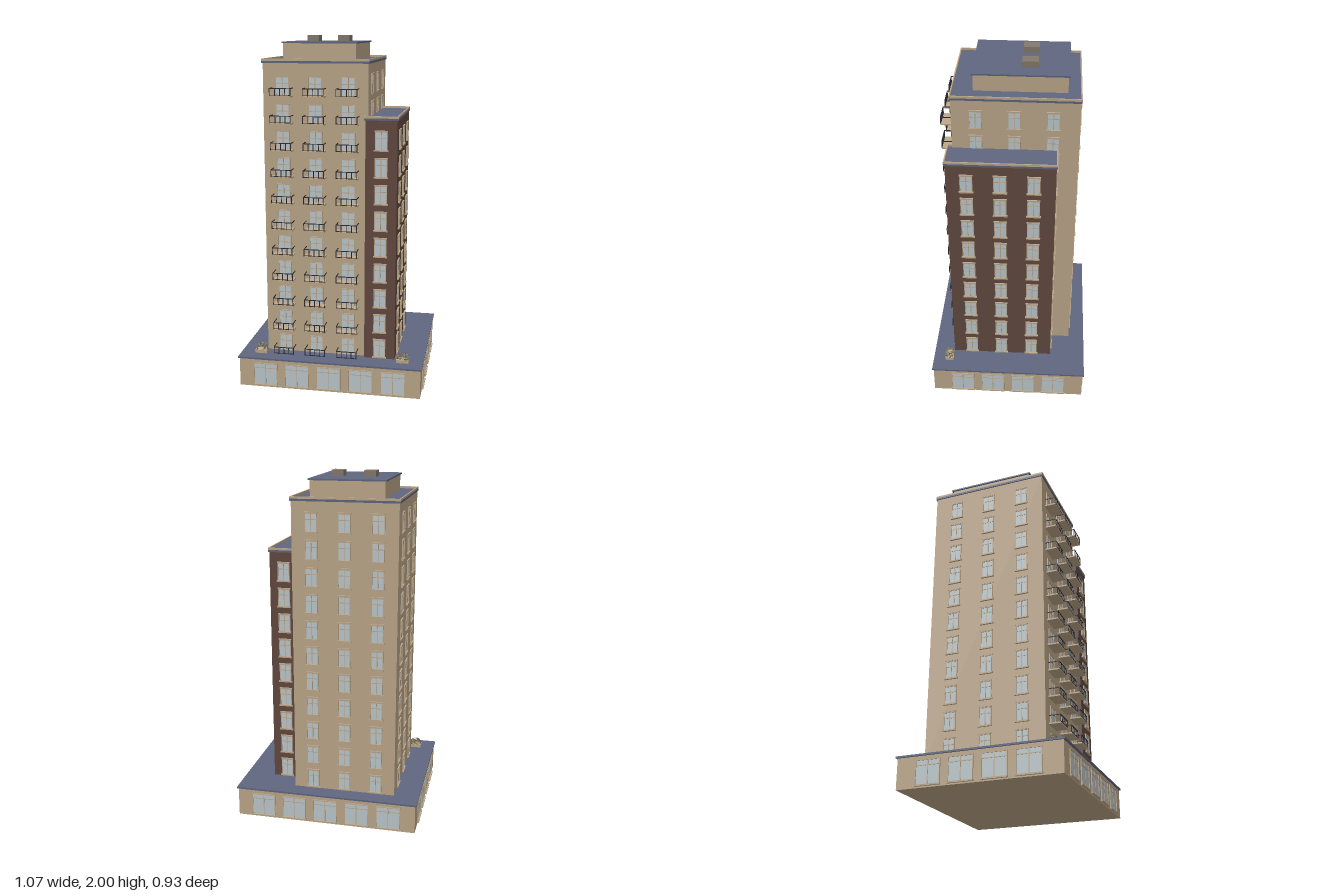
import * as THREE from 'three';
import { mergeGeometries } from 'three/addons/utils/BufferGeometryUtils.js';

const mat = (name, color) => Object.assign(new THREE.MeshStandardMaterial({ color }), { name });
const M = {
  stone: mat('tan stone', 0xbfa98b),
  brick: mat('brown brick', 0x634a40),
  roof: mat('slate blue roof', 0x5f6680),
  glass: mat('pale glass', 0xbfcacd),
  metal: mat('dark metal', 0x2b2a30),
  vent: mat('grey brown vent', 0x85796d),
  leaf: mat('dry green leaf', 0x7f7a64),
};

// Box geometry between two corners
function span(x0, x1, y0, y1, z0, z1) {
  return new THREE.BoxGeometry(x1 - x0, y1 - y0, z1 - z0)
    .translate((x0 + x1) / 2, (y0 + y1) / 2, (z0 + z1) / 2);
}

// Collects boxes by material and merges each set into one mesh
class Parts {
  constructor() { this.sets = {}; }
  box(key, ...s) { (this.sets[key] ??= []).push(span(...s)); }
  build(name) {
    const g = new THREE.Group();
    g.name = name;
    for (const [key, list] of Object.entries(this.sets)) {
      const mesh = new THREE.Mesh(mergeGeometries(list), M[key]);
      mesh.name = `${name} ${key}`;
      g.add(mesh);
    }
    return g;
  }
}

// Glazed opening on the local z = 0 plane, with frame, mullion and transom
function glazing(p, x, y, w, h, bar, transom) {
  const l = x - w / 2, r = x + w / 2, t = y + h, d = 0.006;
  p.box('glass', l, r, y, t, -0.002, 0.002);
  p.box('stone', l - bar, l, y, t, -0.002, d);
  p.box('stone', r, r + bar, y, t, -0.002, d);
  p.box('stone', l - bar, r + bar, t, t + bar, -0.002, d);
  p.box('stone', x - bar / 2, x + bar / 2, y, t, 0, 0.004);
  p.box('stone', l, r, y + h * transom, y + h * transom + bar, 0, 0.004);
}

function sashWindow(p, x, y) {
  glazing(p, x, y, 0.062, 0.096, 0.004, 0.66);
  p.box('stone', x - 0.04, x + 0.04, y - 0.008, y, -0.002, 0.01);
  p.box('stone', x - 0.037, x + 0.037, y + 0.1, y + 0.106, -0.002, 0.008);
}

function shopWindow(p, x) {
  glazing(p, x, 0.016, 0.132, 0.126, 0.004, 0.78);
  p.box('stone', x - 0.072, x + 0.072, 0.008, 0.016, -0.002, 0.01);
}

// Glass door with slab and railing
function balcony(p, x, y) {
  const w = 0.06, d = 0.065, e = 0.004, top = y + 0.05;
  glazing(p, x, y + 0.008, 0.07, 0.097, 0.004, 0.62);
  p.box('stone', x - w, x + w, y, y + 0.008, 0, d);
  p.box('metal', x - w, x + w, top - e, top, d - e, d);
  p.box('metal', x - w, x + w, y + 0.01, y + 0.013, d - e, d);
  for (const s of [-1, 1]) {
    const c = x + s * (w - e / 2);
    p.box('metal', c - e / 2, c + e / 2, top - e, top, 0, d);
  }
  for (let i = 0; i <= 4; i++) {
    const c = x - w + e / 2 + (i * (2 * w - e)) / 4;
    p.box('metal', c - e / 2, c + e / 2, y + 0.008, top, d - e, d);
  }
}

// Facade group: local x runs along the wall and local z points outward
function facade(name, x, z, turn, columns, rows, draw) {
  const p = new Parts();
  for (const c of columns) for (const y of rows) draw(p, c, y);
  const g = p.build(name);
  g.position.set(x, 0, z);
  g.rotation.y = turn * Math.PI / 2;
  return g;
}

// Flat roof with a thin raised parapet
function parapetRoof(p, x0, x1, z0, z1, y) {
  const o = 0.006, t = 0.007, top = y + 0.024;
  x0 -= o; x1 += o; z0 -= o; z1 += o;
  p.box('roof', x0, x1, y, y + 0.012, z0, z1);
  p.box('stone', x0, x1, y + 0.012, top, z0, z0 + t);
  p.box('stone', x0, x1, y + 0.012, top, z1 - t, z1);
  p.box('stone', x0, x0 + t, y + 0.012, top, z0 + t, z1 - t);
  p.box('stone', x1 - t, x1, y + 0.012, top, z0 + t, z1 - t);
}

function planter(x, z, seed) {
  const g = new THREE.Group();
  g.name = 'planter';
  const tub = new THREE.Mesh(span(-0.036, 0.036, 0.178, 0.196, -0.025, 0.025), M.stone);
  tub.name = 'planterBox';
  // Bush made of small scattered leaf clumps
  let s = seed;
  const rnd = () => (s = (s * 16807) % 2147483647) / 2147483647;
  const leaves = [];
  for (let i = 0; i < 110; i++) {
    const a = rnd() * Math.PI * 2, up = rnd(), r = 0.033 * Math.sqrt(1 - up * up * 0.8);
    leaves.push(new THREE.TetrahedronGeometry(0.006)
      .rotateX(rnd() * 6).rotateY(rnd() * 6)
      .translate(Math.cos(a) * r, 0.197 + up * 0.031, Math.sin(a) * r * 0.85));
  }
  const bush = new THREE.Mesh(mergeGeometries(leaves), M.leaf);
  bush.name = 'bush';
  g.add(tub, bush);
  g.position.set(x, 0, z);
  return g;
}

export function createModel() {
  const model = new THREE.Group();
  model.name = 'apartmentTower';

  // Ground floor podium
  const podium = new Parts();
  podium.box('stone', -0.525, 0.525, 0, 0.168, -0.455, 0.455);
  podium.box('roof', -0.533, 0.533, 0.168, 0.178, -0.463, 0.463);

  // Main tower
  const tower = new Parts();
  tower.box('stone', -0.39, 0.2, 0.178, 1.852, -0.368, 0.318);
  parapetRoof(tower, -0.39, 0.2, -0.368, 0.318, 1.852);

  // Brick side wing
  const wing = new Parts();
  wing.box('brick', 0.188, 0.364, 0.178, 1.55, -0.253, 0.341);
  parapetRoof(wing, 0.188, 0.364, -0.253, 0.341, 1.55);

  // Penthouse and rooftop vents
  const penthouse = new Parts();
  penthouse.box('stone', -0.302, 0.112, 1.864, 1.957, -0.3, 0.205);
  penthouse.box('roof', -0.31, 0.122, 1.957, 1.966, -0.31, 0.213);
  for (const x of [-0.186, -0.003])
    penthouse.box('vent', x - 0.034, x + 0.034, 1.966, 2, -0.139, -0.051);

  model.add(podium.build('podium'), tower.build('tower'),
    wing.build('wing'), penthouse.build('penthouse'));

  const floors = (n, y, from = 0) =>
    Array.from({ length: n - from }, (_, i) => y + (i + from) * 0.15);
  const front = [-0.28, -0.095, 0.09], back = front.map((x) => -x);
  const side = [-0.228, -0.02, 0.188];
  const wingSide = [-0.23, -0.048, 0.135];

  // Tower walls
  model.add(
    facade('towerFront', 0, 0.318, 0, front, floors(11, 0.17), balcony),
    facade('towerBack', 0, -0.368, 2, back, floors(11, 0.19), sashWindow),
    facade('towerRight', -0.39, 0, -1, side, floors(11, 0.19), sashWindow),
    facade('towerLeft', 0.2, 0, 1, side.map((z) => -z), floors(11, 0.19, 9), sashWindow),
  );
  // Wing walls
  model.add(
    facade('wingFront', 0, 0.341, 0, [0.276], floors(9, 0.19), sashWindow),
    facade('wingBack', 0, -0.253, 2, [-0.282], floors(9, 0.19), sashWindow),
    facade('wingLeft', 0.364, 0, 1, wingSide, floors(9, 0.19), sashWindow),
  );
  // Shop windows around the podium
  const long = [-0.37, -0.185, 0, 0.185, 0.37], short = [-0.276, -0.092, 0.092, 0.276];
  model.add(
    facade('shopFront', 0, 0.455, 0, long, [0], shopWindow),
    facade('shopBack', 0, -0.455, 2, long, [0], shopWindow),
    facade('shopLeft', 0.525, 0, 1, short, [0], shopWindow),
    facade('shopRight', -0.525, 0, -1, short, [0], shopWindow),
  );

  model.add(planter(-0.415, 0.365, 11), planter(0.415, 0.365, 29));
  return model;
}
